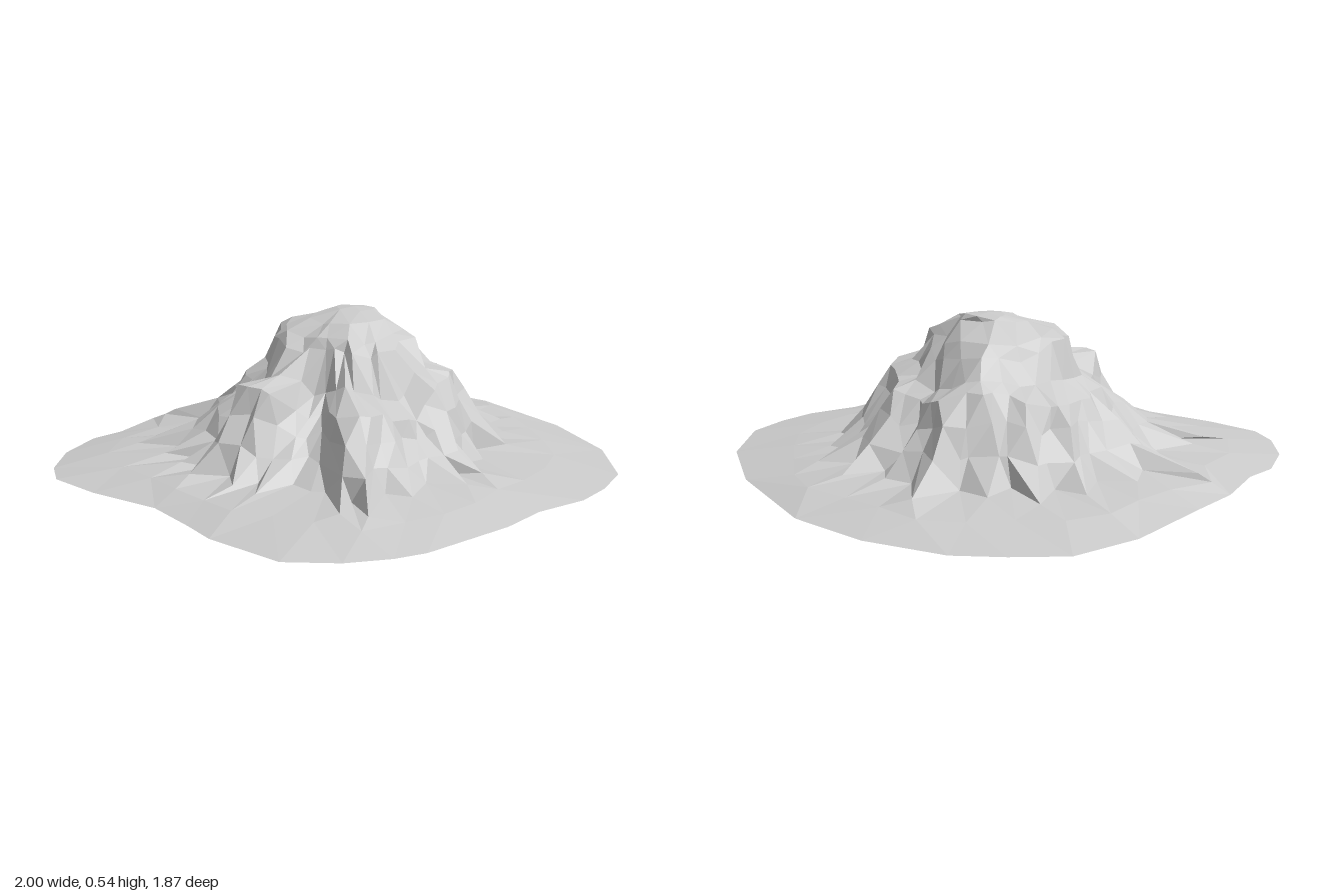
import * as THREE from 'three';

const TAU = 2 * Math.PI;
const lerp = THREE.MathUtils.lerp;

// Ground outline as x, z pairs, running from the right side past the front
const OUTLINE = [
  [1, 0], [0.95, 0.15], [0.88, 0.27], [0.74, 0.4], [0.65, 0.54], [0.43, 0.78], [0.34, 0.84],
  [0.2, 0.9], [0.02, 0.93], [-0.23, 0.82], [-0.33, 0.74], [-0.48, 0.63], [-0.73, 0.55],
  [-0.91, 0.46], [-0.97, 0.36], [-1, 0.2], [-0.97, 0.03], [-0.9, -0.07], [-0.84, -0.26],
  [-0.75, -0.41], [-0.59, -0.69], [-0.42, -0.86], [-0.24, -0.91], [-0.07, -0.94],
  [0.21, -0.9], [0.47, -0.79], [0.78, -0.51], [0.95, -0.25],
];

// Tips of the rock spurs as x, z pairs, in the same order
const SPURS = [
  [0.53, 0.07], [0.54, 0.24], [0.5, 0.33], [0.34, 0.48], [0.23, 0.66], [0.14, 0.66], [0.01, 0.5],
  [-0.16, 0.56], [-0.25, 0.52], [-0.42, 0.46], [-0.49, 0.35], [-0.58, 0.27], [-0.72, 0.18],
  [-0.69, 0.09], [-0.6, -0.08], [-0.73, -0.23], [-0.54, -0.33], [-0.4, -0.5], [-0.27, -0.6],
  [-0.1, -0.6], [0.12, -0.69], [0.27, -0.52], [0.42, -0.52], [0.56, -0.4], [0.58, -0.24], [0.6, -0.09],
];

// Ridges and gullies every 15 degrees:
// shoulder radius, shoulder height, shelf radius, shelf height
const SPOKES = [
  [0.25, 0.45, 0.39, 0.33], [0.23, 0.44, 0.39, 0.31], [0.21, 0.43, 0.38, 0.22],
  [0.18, 0.42, 0.36, 0.23], [0.16, 0.42, 0.41, 0.27], [0.14, 0.43, 0.46, 0.29],
  [0.13, 0.43, 0.24, 0.24], [0.14, 0.42, 0.27, 0.21], [0.16, 0.42, 0.37, 0.33],
  [0.19, 0.43, 0.41, 0.33], [0.21, 0.43, 0.35, 0.24], [0.23, 0.44, 0.36, 0.25],
  [0.23, 0.46, 0.34, 0.28], [0.25, 0.47, 0.39, 0.27], [0.26, 0.46, 0.36, 0.28],
  [0.26, 0.43, 0.40, 0.29], [0.28, 0.41, 0.42, 0.29], [0.30, 0.42, 0.40, 0.33],
  [0.32, 0.42, 0.43, 0.34], [0.30, 0.42, 0.44, 0.31], [0.28, 0.39, 0.38, 0.25],
  [0.27, 0.39, 0.42, 0.28], [0.26, 0.43, 0.36, 0.29], [0.25, 0.45, 0.40, 0.33],
];

// Rings from summit to the lower slope: point count, roughness
const RINGS = [
  [7, 0.008], [12, 0.014], [17, 0.018], [26, 0.02], [36, 0.02], [48, 0.022], [50, 0.022], [52, 0.018],
];

function seeded(seed) {
  return () => {
    seed = (seed * 16807) % 2147483647;
    return (seed / 2147483647) * 2 - 1;
  };
}

const toPolar = ([x, z]) => ({ angle: (Math.atan2(z, x) + TAU) % TAU, radius: Math.hypot(x, z) });
const EDGE = OUTLINE.map(toPolar);

// Spur tips with a gully between each pair
const FOOT = SPURS.map(toPolar).flatMap((tip, k, tips) => {
  const next = tips[(k + 1) % tips.length];
  const turn = (next.angle - tip.angle + TAU) % TAU;
  const gully = { angle: (tip.angle + turn / 2) % TAU, radius: 0.43 * (tip.radius + next.radius) };
  return [tip, gully];
}).sort((a, b) => a.angle - b.angle);

function radiusAt(loop, angle) {
  const k = loop.findIndex((p) => p.angle > angle);
  const a = loop.at(k < 0 ? -1 : k - 1), b = loop[Math.max(k, 0)];
  const span = (b.angle - a.angle + TAU) % TAU;
  return lerp(a.radius, b.radius, ((angle - a.angle + TAU) % TAU) / span);
}

function spokeAt(angle) {
  const f = (angle / TAU) * SPOKES.length;
  const i = Math.floor(f) % SPOKES.length;
  const next = SPOKES[(i + 1) % SPOKES.length];
  return SPOKES[i].map((v, k) => lerp(v, next[k], f - Math.floor(f)));
}

const place = (angle, r, y) => new THREE.Vector3(r * Math.cos(angle), y, r * Math.sin(angle));

// Separate blend for the ground position and the height
const mix = (a, b, t, ty) => new THREE.Vector3(lerp(a.x, b.x, t), lerp(a.y, b.y, ty), lerp(a.z, b.z, t));

// Points down one slope, one for each ring
function slopeProfile(angle) {
  const [shoulderR, shoulderH, shelfR, shelfH] = spokeAt(angle);
  const c = Math.cos(angle), s = Math.sin(angle);
  const crown = new THREE.Vector3(0.02 + 0.13 * c, 0.512 - 0.008 * s, -0.04 + 0.12 * s);
  const shoulder = place(angle, shoulderR, shoulderH);
  const shelf = place(angle, shelfR, shelfH);
  const foot = place(angle, radiusAt(FOOT, angle), 0.05);
  return [
    new THREE.Vector3(0.03 + 0.07 * c, 0.535, -0.1 + 0.055 * s),
    crown,
    mix(crown, shoulder, 0.65, 0.55),
    shoulder,
    mix(shoulder, shelf, 0.4, 0.75),
    shelf,
    mix(shelf, foot, 0.25, 0.32),
    mix(shelf, foot, 0.58, 0.66),
  ];
}

function makeRing([count, rough], level, rand) {
  return Array.from({ length: count }, (_, j) => {
    const angle = ((j + 0.5 + 0.35 * rand()) / count) * TAU;
    const point = slopeProfile(angle)[level];
    point.add(place(angle, rough * rand(), rough * 0.6 * rand()));
    return { angle, point };
  });
}

function mountainGeometry() {
  const rand = seeded(4217);
  const rings = RINGS.map((ring, level) => makeRing(ring, level, rand));
  // Foot of the rock, the apron and its edge on the ground
  rings.push(FOOT.map(({ angle, radius }) => ({ angle, point: place(angle, radius, 0.052 + 0.008 * rand()) })));
  rings.push(Array.from({ length: 32 }, (_, j) => {
    const angle = ((j + 0.5) / 32) * TAU;
    const radius = lerp(radiusAt(FOOT, angle), radiusAt(EDGE, angle), 0.5);
    return { angle, point: place(angle, radius, 0.032 + 0.004 * rand()) };
  }));
  rings.push(EDGE.map(({ angle, radius }) => ({ angle, point: place(angle, radius, 0) })));

  const positions = [];
  const face = (...points) => points.forEach((p) => positions.push(p.x, p.y, p.z));

  // Flat summit cap
  const summit = new THREE.Vector3(0.03, 0.54, -0.1);
  rings[0].forEach((v, j) => face(summit, rings[0][(j + 1) % rings[0].length].point, v.point));

  // Stitch neighbouring rings together in order of angle
  const angleAt = (ring, k) => ring[k % ring.length].angle + (k >= ring.length ? TAU : 0);
  const middle = (ring, k) => angleAt(ring, k) + angleAt(ring, k + 1);
  for (let r = 0; r < rings.length - 1; r++) {
    const inner = rings[r], outer = rings[r + 1];
    let i = 0, o = 0;
    while (i < inner.length || o < outer.length) {
      const a = inner[i % inner.length].point, b = outer[o % outer.length].point;
      const stepInner = o >= outer.length || (i < inner.length && middle(inner, i) < middle(outer, o));
      if (stepInner) face(a, inner[++i % inner.length].point, b);
      else face(a, outer[++o % outer.length].point, b);
    }
  }
  const geometry = new THREE.BufferGeometry();
  geometry.setAttribute('position', new THREE.Float32BufferAttribute(positions, 3));
  geometry.computeVertexNormals();
  return geometry;
}

export function createModel() {
  const group = new THREE.Group();
  group.name = 'mountain';
  // Hollow rock shell with its sloping apron, open underneath
  const material = new THREE.MeshStandardMaterial({ color: 0xcccccc, flatShading: true, side: THREE.DoubleSide });
  const rock = new THREE.Mesh(mountainGeometry(), material);
  rock.name = 'rockShell';
  group.add(rock);
  return group;
}
